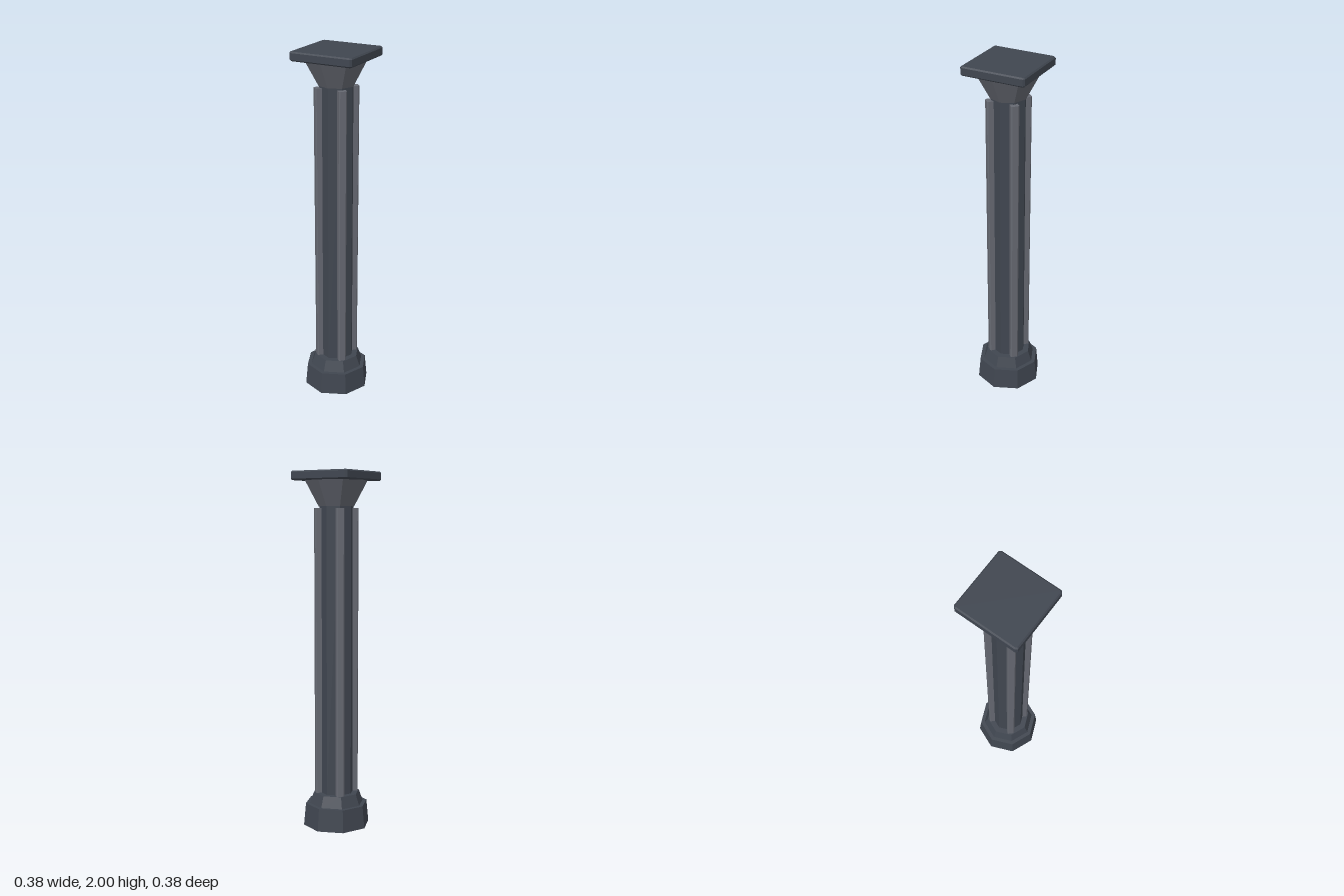
import * as THREE from 'three';

export function createModel() {
  const model = new THREE.Group();
  model.name = 'column';

  const darkStone = new THREE.MeshStandardMaterial({ color: 0x404650, flatShading: true });
  darkStone.name = 'dark stone';
  const lightStone = new THREE.MeshStandardMaterial({ color: 0x666972, flatShading: true });
  lightStone.name = 'light stone';

  const add = (name, geometry, material, parent = model) => {
    const mesh = new THREE.Mesh(geometry, material);
    mesh.name = name;
    parent.add(mesh);
    return mesh;
  };

  // Eight-sided tapering drum between two heights
  const drum = (name, rBottom, rTop, y0, y1, material) => {
    const g = new THREE.CylinderGeometry(rTop, rBottom, y1 - y0, 8);
    add(name, g.translate(0, (y0 + y1) / 2, 0), material);
  };

  drum('plinth', 0.19, 0.178, 0, 0.127, darkStone);
  drum('baseCollar', 0.155, 0.132, 0.127, 0.19, darkStone);
  drum('shaftCore', 0.098, 0.096, 0.19, 1.81, darkStone);
  drum('capital', 0.1, 0.178, 1.81, 1.955, lightStone);

  // Four chamfered ribs on the diagonals of the shaft
  const profile = new THREE.Shape([
    [0.07, -0.022], [0.116, -0.022], [0.122, -0.016],
    [0.122, 0.016], [0.116, 0.022], [0.07, 0.022],
  ].map(([x, y]) => new THREE.Vector2(x, y)));
  const ribGeometry = new THREE.ExtrudeGeometry(profile, { depth: 1.61, bevelEnabled: false });
  ribGeometry.rotateX(-Math.PI / 2).translate(0, 0.19, 0);
  const ribs = new THREE.Group();
  ribs.name = 'ribs';
  model.add(ribs);
  for (let i = 0; i < 4; i++) {
    add('rib', ribGeometry, lightStone, ribs).rotation.y = Math.PI / 4 + i * Math.PI / 2;
  }

  // Square slab with clipped corners and bevelled edges
  const h = 0.176, c = 0.17;
  const square = new THREE.Shape([
    [-c, -h], [c, -h], [h, -c], [h, c], [c, h], [-c, h], [-h, c], [-h, -c],
  ].map(([x, y]) => new THREE.Vector2(x, y)));
  const bevel = 0.007;
  const slab = new THREE.ExtrudeGeometry(square, {
    depth: 0.05 - 2 * bevel, bevelSize: bevel, bevelThickness: bevel, bevelSegments: 1,
  });
  slab.rotateX(-Math.PI / 2).translate(0, 1.95 + bevel, 0);
  add('topSlab', slab, darkStone);

  return model;
}
